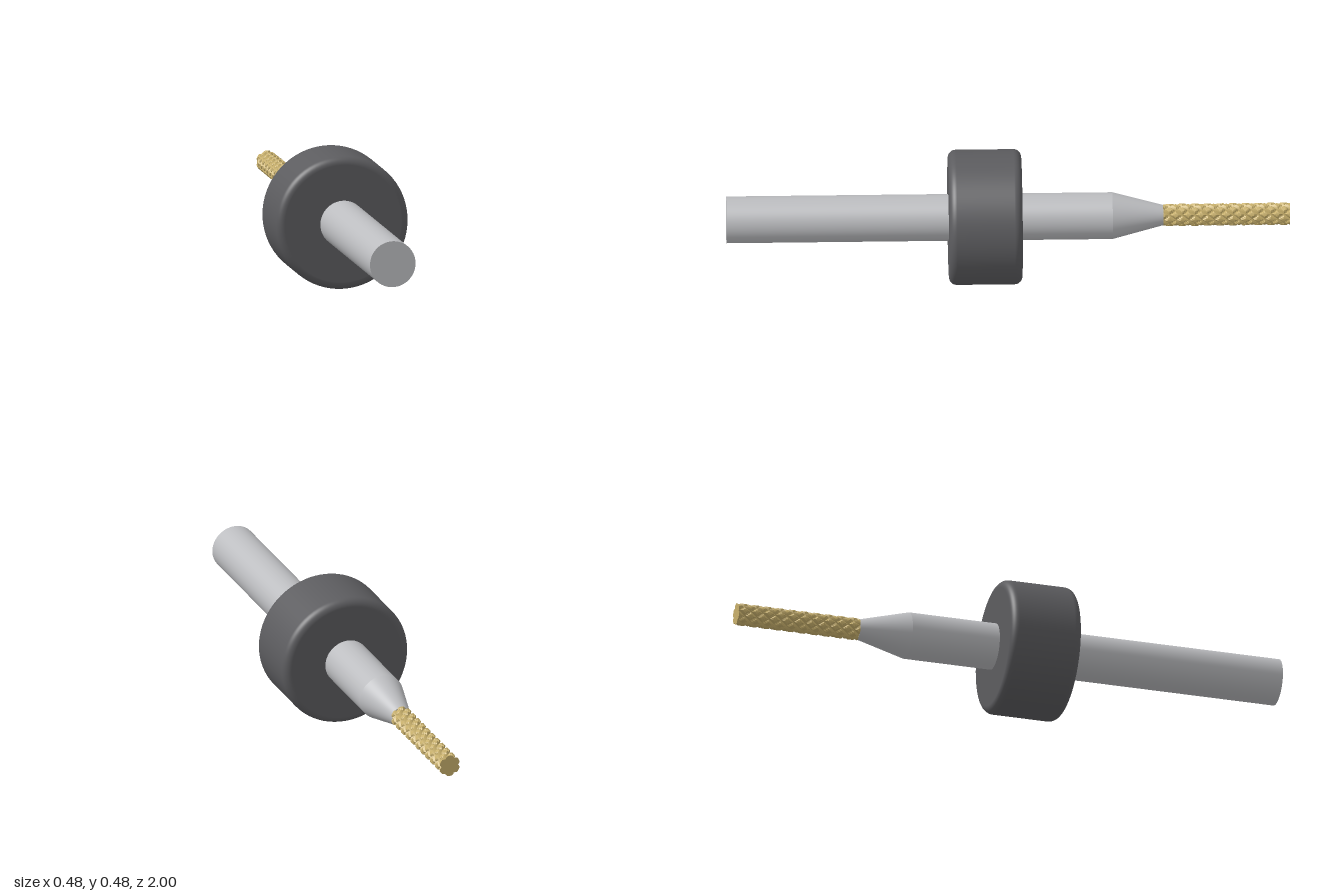
import * as THREE from 'three';

const AXIS_Y = 0.24;

export function createModel() {
  const model = new THREE.Group();
  const steel = new THREE.MeshStandardMaterial({ color: 0xbcbdc0 });
  steel.name = 'steel grey';
  const rubber = new THREE.MeshStandardMaterial({ color: 0x5c5c5f });
  rubber.name = 'dark collar grey';
  const gold = new THREE.MeshStandardMaterial({ color: 0xc8b06c, flatShading: true });
  gold.name = 'coated gold';

  const add = (name, geometry, material, z) => {
    geometry.rotateX(Math.PI / 2); // part axis onto z, its top facing the front
    const mesh = new THREE.Mesh(geometry, material);
    mesh.name = name;
    mesh.position.set(0, AXIS_Y, z);
    model.add(mesh);
  };

  // Straight shank and its taper down to the cutter
  add('shank', new THREE.CylinderGeometry(0.083, 0.083, 1.37, 64), steel, 0.315);
  add('taper', new THREE.CylinderGeometry(0.083, 0.036, 0.18, 64), steel, -0.46);

  // Depth collar with rounded rims
  const back = -0.13, front = 0.13, radius = 0.24, fillet = 0.028;
  const outline = new THREE.Path();
  outline.moveTo(0.075, back);
  outline.lineTo(radius - fillet, back);
  outline.absarc(radius - fillet, back + fillet, fillet, -Math.PI / 2, 0, false);
  outline.lineTo(radius, front - fillet);
  outline.absarc(radius - fillet, front - fillet, fillet, 0, Math.PI / 2, false);
  outline.lineTo(0.075, front);
  add('depthCollar', new THREE.LatheGeometry(outline.getPoints(8), 72), rubber, 0.082);

  // Cutter: two opposed sets of helical grooves leave diamond teeth
  const length = 0.45, starts = 6, pitch = 0.045;
  const cutter = new THREE.CylinderGeometry(0.039, 0.039, length, starts * 8, 80);
  const pos = cutter.attributes.position;
  const groove = (t) => Math.min(1, 4 * Math.abs(t - Math.round(t)));
  for (let i = 0; i < pos.count; i++) {
    const x = pos.getX(i), y = pos.getY(i), z = pos.getZ(i);
    if (Math.hypot(x, z) < 0.01) continue;
    const around = (Math.atan2(z, x) / (2 * Math.PI)) * starts;
    const along = (y + length / 2) / pitch;
    const r = 0.032 + 0.0075 * Math.min(groove(around + along), groove(around - along));
    const a = Math.atan2(z, x);
    pos.setXYZ(i, r * Math.cos(a), y, r * Math.sin(a));
  }
  cutter.computeVertexNormals();
  add('diamondCutCutter', cutter, gold, -0.775);

  return model;
}
